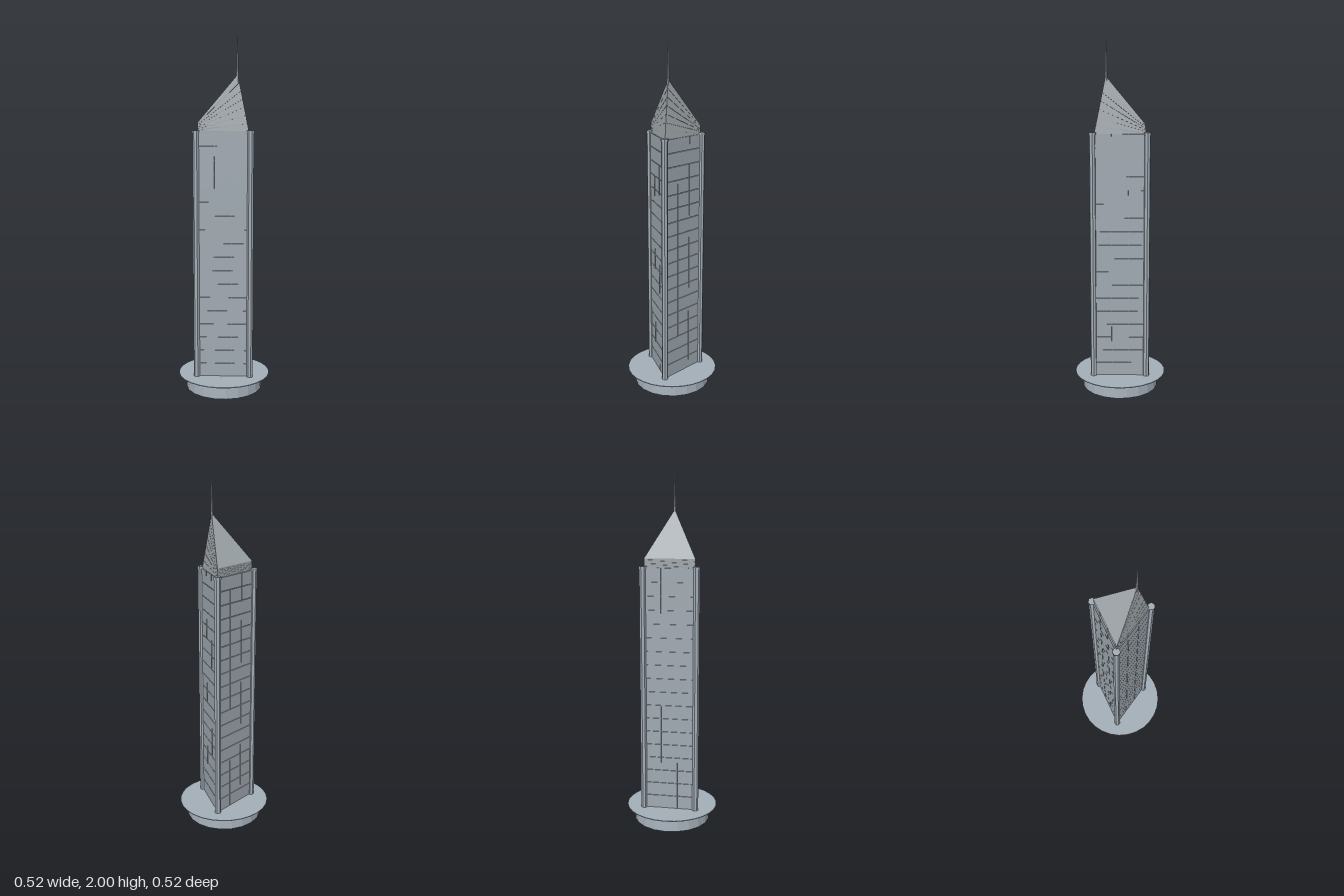
import * as THREE from 'three';

const material = (name, color) => {
  const m = new THREE.MeshStandardMaterial({ color });
  m.name = name;
  return m;
};

// Wedge between two triangles, each given as [front, left, right] points
function wedge(low, high) {
  const [a, b, c, d, e, f] = [...low, ...high];
  const faces = [
    [a, c, b], [d, e, f],              // underside, top
    [a, b, e], [a, e, d],              // +z side
    [b, c, f], [b, f, e],              // back
    [c, a, d], [c, d, f],              // -z side
  ];
  const g = new THREE.BufferGeometry();
  g.setAttribute('position', new THREE.Float32BufferAttribute(faces.flat(2), 3));
  // clockwise seen from outside is avoided by flipping the winding
  const index = [];
  for (let i = 0; i < faces.length * 3; i += 3) index.push(i, i + 2, i + 1);
  g.setIndex(index);
  const out = g.toNonIndexed();
  out.computeVertexNormals();
  return out;
}

export function createModel() {
  const model = new THREE.Group();
  const stone = material('blue grey stone', 0xa4afb9);
  const wallGrey = material('wall grey', 0xa2abb3);
  const roofGrey = material('roof grey', 0xa0a7ab);

  const add = (name, geometry, mat, x = 0, y = 0, z = 0, parent = model) => {
    const mesh = new THREE.Mesh(geometry, mat);
    mesh.name = name;
    mesh.position.set(x, y, z);
    parent.add(mesh);
    return mesh;
  };
  const flatCylinder = (top, bottom, height, sides) => {
    const g = new THREE.CylinderGeometry(top, bottom, height, sides).toNonIndexed();
    g.computeVertexNormals();
    return g;
  };

  // Round base with a thin overhanging plate
  add('baseDrum', flatCylinder(0.21, 0.218, 0.082, 20), stone, 0, 0.041, 0);
  add('basePlate', flatCylinder(0.262, 0.262, 0.004, 28), stone, 0, 0.083, 0);

  // Triangular shaft
  const bottom = 0.085, top = 1.48;
  const corners = [[0.165, 0], [-0.085, 0.145], [-0.085, -0.145]];
  const ring = (y, s = 1) => corners.map(([x, z]) => [x * s, y, z * s]);
  add('shaft', wedge(ring(bottom, 0.98), ring(top, 0.98)), wallGrey);

  // Facade panels separated by fine floor and mullion grooves
  const floors = 18, bays = 3;
  const floorHeight = (top - bottom) / floors;
  corners.forEach(([x0, z0], i) => {
    const [x1, z1] = corners[(i + 1) % 3];
    const length = Math.hypot(x1 - x0, z1 - z0);
    const facade = new THREE.Group();
    facade.name = 'facade';
    facade.position.set((x0 + x1) / 2, 0, (z0 + z1) / 2);
    facade.rotation.y = Math.atan2(-(z1 - z0), x1 - x0) + Math.PI;
    model.add(facade);
    const bay = (length - 0.01) / bays;
    const panel = new THREE.BoxGeometry(bay - 0.003, floorHeight - 0.003, 0.008);
    for (let f = 0; f < floors; f++) {
      for (let b = 0; b < bays; b++) {
        add('facadePanel', panel, wallGrey,
          (b - (bays - 1) / 2) * bay, bottom + (f + 0.5) * floorHeight, 0, facade);
      }
    }
  });

  // Corner columns with small caps
  for (const [x, z] of [[0.174, 0], [-0.088, 0.15], [-0.088, -0.15]]) {
    add('cornerColumn', flatCylinder(0.018, 0.018, 1.395, 7), stone, x, 0.7825, z);
    add('columnCap', flatCylinder(0.021, 0.021, 0.014, 7), stone, x, 1.481, z);
  }

  // Roof: layers fanning out from the back edge towards the sloping front ridge
  const section = (t, s = 1) => {
    const backY = 1.48 + 0.05 * t;
    return [
      [0.163 - 0.073 * t - (1 - s) * 0.1, 1.48 + 0.31 * t, 0],
      [-0.082 + (1 - s) * 0.05, backY, 0.142 * s],
      [-0.082 + (1 - s) * 0.05, backY, -0.142 * s],
    ];
  };
  add('roofCore', wedge(section(0, 0.97), section(0.995, 0.97)), roofGrey);
  const layers = 7;
  for (let k = 0; k < layers; k++) {
    const end = k === layers - 1 ? 1 : (k + 0.95) / layers;
    add('roofLayer', wedge(section(k / layers), section(end)), roofGrey);
  }

  // Needle spire
  add('spire', flatCylinder(0.001, 0.009, 0.26, 6), stone, 0.087, 1.87, 0);
  return model;
}
